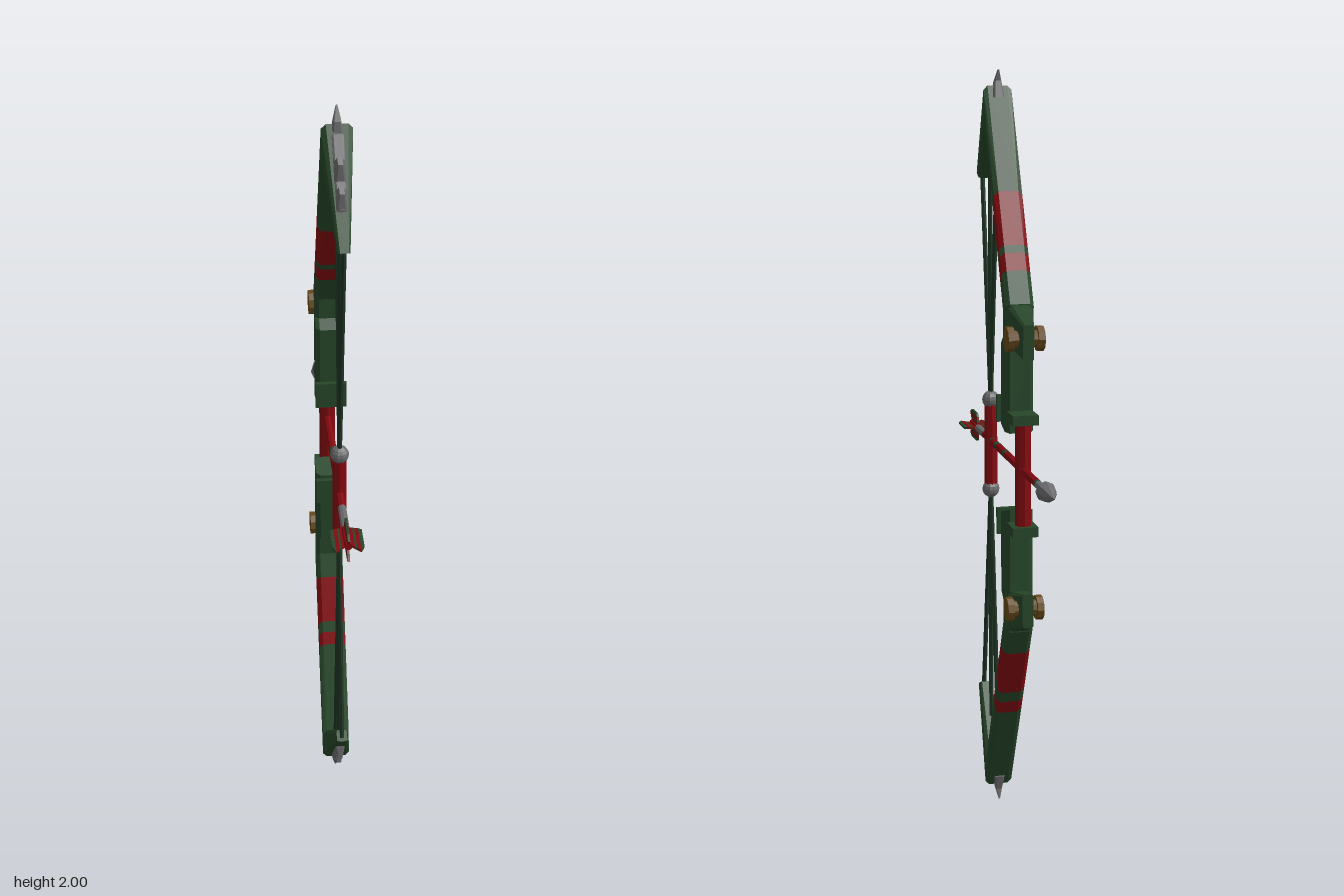
import * as THREE from 'three';
import { ConvexGeometry } from 'three/addons/geometries/ConvexGeometry.js';
import { mergeGeometries } from 'three/addons/utils/BufferGeometryUtils.js';

const V = (x, y, z) => new THREE.Vector3(x, y, z);
const material = (name, color) => Object.assign(new THREE.MeshStandardMaterial({ color }), { name });

export function createModel() {
  const green = material('dark green', 0x27472a);
  const cord = material('string green', 0x1f3524);
  const red = material('deep red', 0x84090f);
  const grey = material('steel grey', 0x6c6c6e);
  const bronze = material('bronze', 0x67491a);

  // Faceted mesh with one normal per face
  function add(parent, name, geometry, mat) {
    const geo = geometry.index ? geometry.toNonIndexed() : geometry;
    geo.computeVertexNormals();
    const mesh = new THREE.Mesh(geo, mat);
    mesh.name = name;
    parent.add(mesh);
    return mesh;
  }

  // A section is [front z, front y, back z, back y, half width]; its ring is a chamfered rectangle
  function ring([oz, oy, iz, iy, w]) {
    const points = [];
    const c = Math.min(0.25, 0.3 * w / Math.hypot(oz - iz, oy - iy));
    for (const [t, k] of [[0, 0.7], [c, 1], [1 - c, 1], [1, 0.7]])
      for (const s of [-1, 1])
        points.push(V(s * k * w, oy + (iy - oy) * t, oz + (iz - oz) * t));
    return points;
  }
  const loft = (...sections) => mergeGeometries(sections.slice(1).map((s, i) =>
    new ConvexGeometry([...ring(sections[i]), ...ring(s)])));
  const mix = (a, b, t) => a.map((v, i) => v + (b[i] - v) * t);

  // Straight rod between two points
  function rod(a, b, radius, sides = 8) {
    const dir = b.clone().sub(a);
    const geo = new THREE.CylinderGeometry(radius, radius, dir.length(), sides);
    geo.applyQuaternion(new THREE.Quaternion().setFromUnitVectors(V(0, 1, 0), dir.normalize()));
    const mid = a.clone().add(b).multiplyScalar(0.5);
    return geo.translate(mid.x, mid.y, mid.z);
  }
  const box = (w, h, d, x, y, z) => new THREE.BoxGeometry(w, h, d).translate(x, y, z);

  // One half of the bow, measured upward from the middle
  function bowHalf(name, bands) {
    const half = new THREE.Group();
    half.name = name;

    // Main limb, cut into plain and painted lengths
    const tip = [0.125, 0.96, 0.115, 0.87, 0.037];
    const root = [-0.127, 0.43, -0.09, 0.4, 0.037];
    const cuts = [0, ...bands, 1];
    for (let i = 0; i < cuts.length - 1; i++)
      add(half, i % 2 ? 'limbBand' : 'limb',
        loft(mix(tip, root, cuts[i]), mix(tip, root, cuts[i + 1])), i % 2 ? red : green);

    // Riser and rear limb
    add(half, 'riser', loft(root,
      [-0.125, 0.35, -0.09, 0.345, 0.037],
      [-0.125, 0.33, -0.063, 0.325, 0.037],
      [-0.125, 0.1, -0.063, 0.12, 0.037]), green);
    add(half, 'rearLimb', loft(tip, [0.317, 0.73, 0.288, 0.715, 0.014]), green);

    // Wheel bracket with a bronze spool on each side
    add(half, 'bracket', loft([-0.12, 0.43, -0.12, 0.32, 0.031],
      [-0.217, 0.39, -0.215, 0.3, 0.014]), green);
    for (const s of [-1, 1]) {
      add(half, 'spoolAxle', rod(V(s * 0.01, 0.35, -0.172), V(s * 0.032, 0.35, -0.172), 0.022, 10), bronze);
      add(half, 'spoolDisc', rod(V(s * 0.03, 0.35, -0.172), V(s * 0.047, 0.35, -0.172), 0.032, 10), bronze);
    }

    // Rear rest plate and grip collar
    add(half, 'restNeck', box(0.04, 0.03, 0.03, 0, 0.152, -0.052), green);
    add(half, 'restPlate', box(0.08, 0.07, 0.013, 0, 0.15, -0.036), green);
    add(half, 'gripCollar', box(0.066, 0.026, 0.075, 0, 0.145, -0.152), green);

    // Curved tip spike, steel strip and two blades on the rear limb
    add(half, 'tipSpike', loft([0.102, 0.93, 0.14, 0.935, 0.014],
      [0.115, 0.972, 0.135, 0.968, 0.009], [0.111, 1, 0.114, 1, 0.002]), grey);
    add(half, 'steelStrip', loft([0.147, 0.944, 0.14, 0.936, 0.014],
      [0.257, 0.81, 0.25, 0.8, 0.012]), grey);
    for (const [z, y] of [[0.2, 0.868], [0.24, 0.815]])
      add(half, 'blade', loft([z - 0.022, y + 0.026, z + 0.016, y - 0.02, 0.014],
        [z + 0.004, y + 0.045, z + 0.018, y + 0.032, 0.006]), grey);

    // Three strings fanning out from the steel bead
    const bead = V(0, 0.125, 0.21);
    for (const [y, z] of [[0.725, 0.305], [0.84, 0.21], [0.88, 0.115]])
      add(half, 'string', rod(bead, V(0, y, z), 0.0065, 6), cord);
    add(half, 'bead', new THREE.SphereGeometry(0.024, 10, 8).translate(0, 0.125, 0.21), grey);
    return half;
  }

  const model = new THREE.Group();
  model.name = 'bowAndArrow';
  const upper = bowHalf('upperHalf', [0.49, 0.735, 0.77, 0.85]);
  const lower = bowHalf('lowerHalf', [0.49, 0.56, 0.62, 0.868]);
  lower.rotation.z = Math.PI;
  upper.position.y = lower.position.y = 1;
  model.add(upper, lower);

  // Hand grip and string grip
  add(model, 'handGrip', rod(V(0, 0.86, -0.16), V(0, 1.14, -0.16), 0.021, 8), red);
  add(model, 'stringGrip', rod(V(0, 0.88, 0.21), V(0, 1.12, 0.21), 0.018, 8), red);

  // Arrow pointing to the back
  const arrow = new THREE.Group();
  arrow.name = 'arrow';
  arrow.position.y = 1.012;
  model.add(arrow);
  const shaft = [[0.445, red], [0.37, grey], [0.28, red], [0.22, green], [0.18, red], [0.14, green],
    [0.115, red], [0.04, green], [0.015, red], [-0.305, green], [-0.318, grey], [-0.385]];
  for (let i = 0; i < shaft.length - 1; i++)
    add(arrow, 'shaft', rod(V(0, 0, shaft[i][0]), V(0, 0, shaft[i + 1][0]), 0.0105, 8), shaft[i][1]);

  const head = [[0, 0.372], [0.021, 0.374], [0.026, 0.39], [0.018, 0.425], [0, 0.468]];
  add(arrow, 'arrowHead', new THREE.LatheGeometry(head.map(p => new THREE.Vector2(...p)), 8)
    .rotateX(-Math.PI / 2), grey);

  // Four striped fletchings with notched rear ends: [radius, front z, rear z]
  const edges = [[0.006, 0.37, 0.442], [0.016, 0.371, 0.451], [0.021, 0.372, 0.456],
    [0.03, 0.374, 0.466], [0.039, 0.38, 0.448]];
  for (let f = 0; f < 4; f++) {
    for (let i = 0; i < 4; i++) {
      const [a, b] = [edges[i], edges[i + 1]];
      const shape = new THREE.Shape([[a[0], a[1]], [b[0], b[1]], [b[0], b[2]], [a[0], a[2]]]
        .map(p => new THREE.Vector2(...p)));
      const strip = new THREE.ExtrudeGeometry(shape, { depth: 0.006, bevelEnabled: false })
        .translate(0, 0, -0.003).rotateX(Math.PI / 2).rotateZ(f * Math.PI / 2);
      add(arrow, 'fletching', strip, i % 2 ? green : red);
    }
  }
  return model;
}
